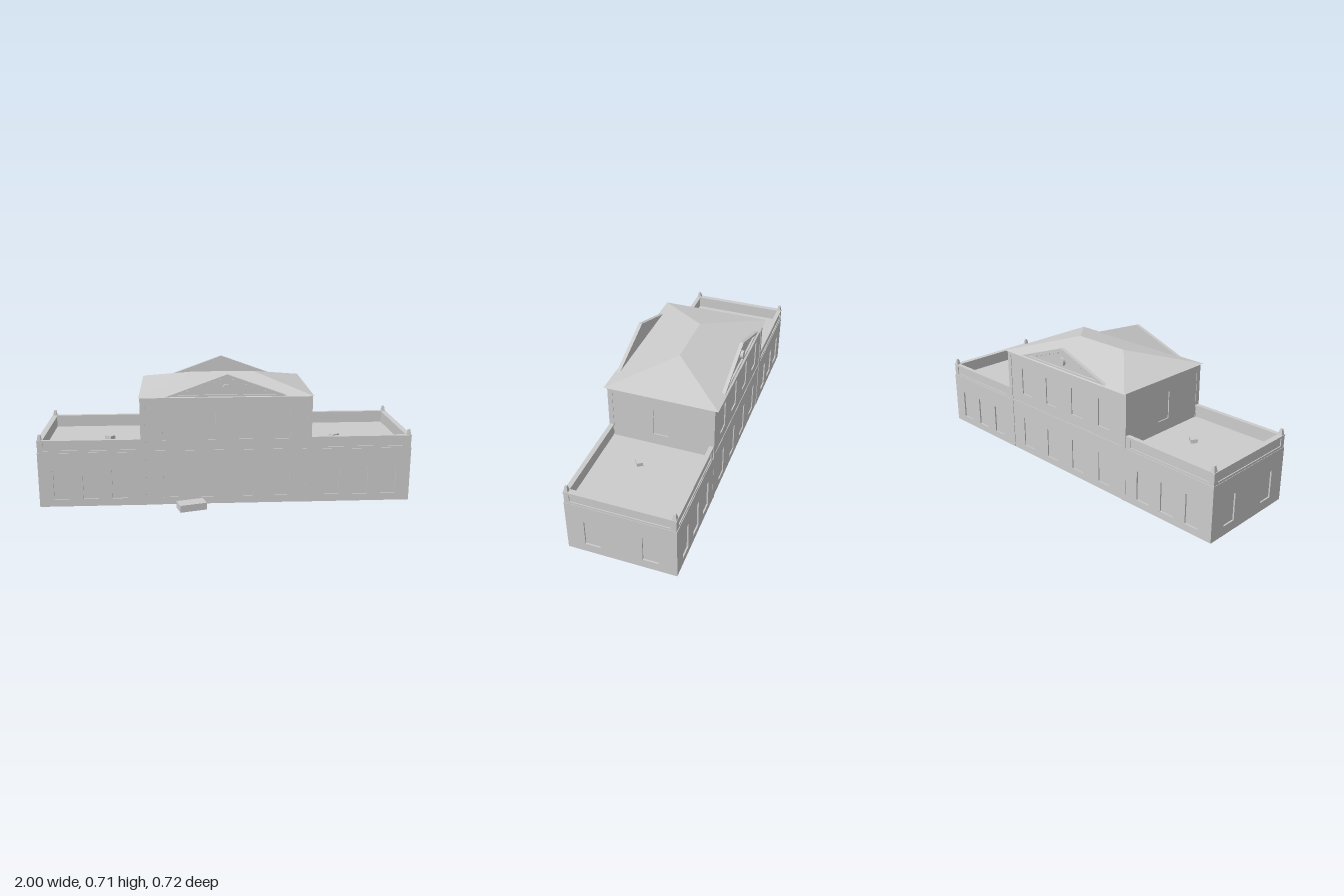
import * as THREE from 'three';

const stone = new THREE.MeshStandardMaterial({ color: 0xcccccc });
stone.name = 'stone';

const FRONT = 0.231, BACK = -0.339, MID = (FRONT + BACK) / 2, DEPTH = FRONT - BACK;
const INSET = 0.008;      // depth of window recesses
const WING_X = 0.7275, WING_W = 0.545, DECK = 0.293;

function add(parent, name, geometry, x = 0, y = 0, z = 0, rotY = 0) {
  const mesh = new THREE.Mesh(geometry, stone);
  mesh.name = name;
  mesh.position.set(x, y, z);
  mesh.rotation.y = rotY;
  parent.add(mesh);
  return mesh;
}

// Box given by its extents
function block(parent, name, x0, x1, y0, y1, z0, z1) {
  return add(parent, name, new THREE.BoxGeometry(x1 - x0, y1 - y0, z1 - z0),
    (x0 + x1) / 2, (y0 + y1) / 2, (z0 + z1) / 2);
}

function polygon(points) {
  return points.map(([x, y]) => new THREE.Vector2(x, y));
}

function rect(cx, y0, w, h) {
  return polygon([[cx - w / 2, y0], [cx + w / 2, y0], [cx + w / 2, y0 + h], [cx - w / 2, y0 + h]]);
}

function plate(outline, holes, depth) {
  const shape = new THREE.Shape(outline);
  holes.forEach(h => shape.holes.push(new THREE.Path(h)));
  return new THREE.ExtrudeGeometry(shape, { depth, bevelEnabled: false });
}

// Thin wall skin with openings; x, z mark its back plane
function facade(parent, name, w, y0, y1, holes, x, z, rotY, depth = INSET) {
  return add(parent, name, plate(rect(0, y0, w, y1 - y0), holes, depth), x, 0, z, rotY);
}

function windows(centres, y0, h, w = 0.08) {
  return centres.map(c => rect(c, y0, w, h));
}

function buildMain(root) {
  const main = new THREE.Group();
  main.name = 'mainBlock';
  block(main, 'core', -0.447, 0.447, 0, 0.593, BACK + INSET, FRONT - INSET);
  const rows = [...windows([-0.3, -0.1, 0.1, 0.3], 0.04, 0.17), ...windows([-0.3, -0.1, 0.1, 0.3], 0.36, 0.15)];
  facade(main, 'frontWall', 0.91, 0, 0.593, rows, 0, FRONT - INSET, 0, INSET - 0.002);
  facade(main, 'backWall', 0.91, 0, 0.593, rows, 0, BACK + INSET, Math.PI, INSET - 0.002);
  for (const s of [-1, 1]) {
    facade(main, 'sideWall', DEPTH - 0.004, DECK - 0.02, 0.593, windows([0], 0.36, 0.15),
      s * 0.447, MID, s * Math.PI / 2, INSET - 0.002);
  }
  // Corner pilasters, string course and frieze
  for (const s of [-1, 1]) for (const z of [FRONT - 0.012, BACK + 0.012]) {
    const p = add(main, 'cornerPilaster', new THREE.BoxGeometry(0.025, 0.593, 0.026), s * 0.443, 0.2965, z);
    p.scale.x = 1;
  }
  for (const z of [FRONT - 0.005, BACK + 0.005]) {
    add(main, 'stringCourse', new THREE.BoxGeometry(0.9, 0.012, 0.012), 0, 0.297, z);
  }
  block(main, 'frieze', -0.4555, 0.4555, 0.568, 0.593, BACK - 0.0005, FRONT + 0.0005);
  root.add(main);
}

// Hipped roof with flat underside
function buildRoof(root) {
  const a = [-0.46, 0.593, 0.25], b = [0.46, 0.593, 0.25], c = [0.46, 0.593, -0.357], d = [-0.46, 0.593, -0.357];
  const e = [-0.165, 0.673, -0.0535], f = [0.165, 0.673, -0.0535];
  const faces = [[a, b, f], [a, f, e], [c, d, e], [c, e, f], [b, c, f], [d, a, e], [a, d, c], [a, c, b]];
  const geometry = new THREE.BufferGeometry();
  geometry.setAttribute('position', new THREE.Float32BufferAttribute(faces.flat(2), 3));
  geometry.computeVertexNormals();
  add(root, 'hippedRoof', geometry);
}

// Triangular gable with raised rim, dentils and round medallion
function buildPediment(root, z, rotY) {
  const g = new THREE.Group();
  g.name = 'pediment';
  const outer = polygon([[-0.325, 0.594], [0.325, 0.594], [0, 0.712]]);
  const inner = polygon([[-0.26, 0.604], [0.26, 0.604], [0, 0.697]]);
  add(g, 'tympanum', plate(outer, [], 0.009));
  add(g, 'rim', plate(outer, [inner], 0.01), 0, 0, 0.009);
  const disc = new THREE.CylinderGeometry(0.022, 0.022, 0.016, 24).rotateX(Math.PI / 2);
  add(g, 'medallion', disc, 0, 0.639, 0.016);
  for (const s of [-1, 1]) for (let i = 1; i <= 6; i++) {
    const t = i / 7;
    add(g, 'dentil', new THREE.BoxGeometry(0.008, 0.006, 0.006), s * 0.24 * t, 0.692 - 0.086 * t, 0.011);
  }
  g.position.z = z;
  g.rotation.y = rotY;
  root.add(g);
}

function buildWing(root, s) {
  const wing = new THREE.Group();
  wing.name = s > 0 ? 'leftWing' : 'rightWing';
  const cx = s * WING_X;
  add(wing, 'core', new THREE.BoxGeometry(0.552, DECK, DEPTH - 2 * INSET), s * 0.716, DECK / 2, MID);
  const row = windows([-0.155, 0, 0.155], 0.04, 0.16);
  facade(wing, 'frontWall', WING_W, 0, DECK, row, cx, FRONT - INSET, 0);
  facade(wing, 'backWall', WING_W, 0, DECK, row, cx, BACK + INSET, Math.PI);
  facade(wing, 'endWall', DEPTH, 0, DECK, windows([-0.15, 0.15], 0.05, 0.15), s * (1 - INSET), MID, s * Math.PI / 2);

  // Parapet with recessed panels
  const x0 = 0.455, x1 = 0.998, pf = 0.228, pb = -0.336;
  const panel = [rect(0, 0.31, WING_W - 0.06, 0.043)];
  for (const [z, r, name] of [[pf - 0.005, 0, 'frontParapet'], [pb + 0.005, Math.PI, 'backParapet']]) {
    facade(wing, name, x1 - x0, DECK, 0.36, panel, s * (x0 + x1) / 2, z, r, 0.005);
    const dir = r ? 1 : -1;
    add(wing, name + 'Core', new THREE.BoxGeometry(x1 - x0 - 0.005, 0.067, 0.013),
      s * (x0 + x1 - 0.005) / 2, 0.3265, z + dir * 0.0065);
    add(wing, 'coping', new THREE.BoxGeometry(WING_W, 0.008, 0.024), cx, 0.362, z + dir * 0.005);
  }
  facade(wing, 'endParapet', pf - pb, DECK, 0.36, [rect(0, 0.31, 0.51, 0.043)],
    s * 0.993, (pf + pb) / 2, s * Math.PI / 2, 0.005);
  add(wing, 'endParapetCore', new THREE.BoxGeometry(0.018, 0.067, pf - pb - 0.01), s * 0.984, 0.3265, (pf + pb) / 2);
  add(wing, 'endCoping', new THREE.BoxGeometry(0.03, 0.0082, pf - pb + 0.004), s * 0.985, 0.362, (pf + pb) / 2);
  add(wing, 'cornice', new THREE.BoxGeometry(WING_W, 0.006, DEPTH), cx, 0.295, MID);

  // Tapered corner finials
  for (const z of [0.216, -0.324]) {
    const finial = new THREE.CylinderGeometry(0.008, 0.016, 0.031, 4, 1).rotateY(Math.PI / 4).toNonIndexed();
    finial.computeVertexNormals();
    add(wing, 'finial', finial, s * 0.985, 0.3815, z);
  }
  root.add(wing);
}

export function createModel() {
  const root = new THREE.Group();
  root.name = 'building';
  buildMain(root);
  buildRoof(root);
  buildPediment(root, 0.222, 0);
  buildPediment(root, -0.328, Math.PI);
  for (const s of [-1, 1]) buildWing(root, s);
  // Loose boxes: roof vents and the entrance step
  add(root, 'rightRoofVent', new THREE.BoxGeometry(0.047, 0.022, 0.035), -0.64, 0.307, -0.038, -0.7);
  add(root, 'leftRoofVent', new THREE.BoxGeometry(0.05, 0.022, 0.032), 0.623, 0.307, 0, 0.6);
  add(root, 'entranceStep', new THREE.BoxGeometry(0.146, 0.038, 0.077), -0.19, 0.019, 0.302, 0.278);
  return root;
}
